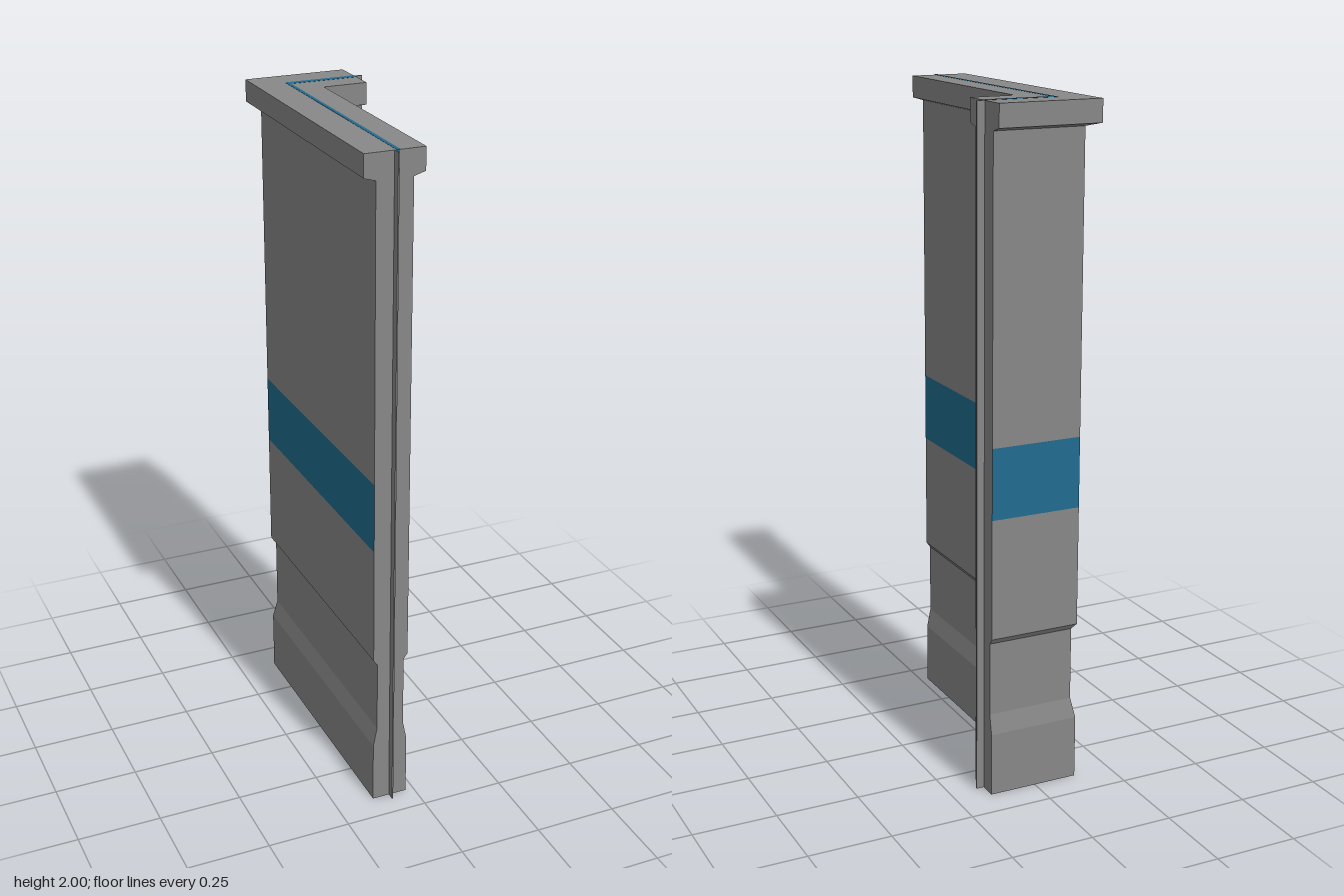
import * as THREE from 'three';

// Centre lines of the two legs and where each leg ends
const CX = -0.079, CZ = -0.351, END_X = 0.143, END_Z = 0.417;

// Corner outline at half thickness h, clockwise from above
function outline(h) {
  return [[CX - h, END_Z], [CX - h, CZ - h], [END_X, CZ - h],
    [END_X, CZ + h], [CX + h, CZ + h], [CX + h, END_Z]];
}

// Skin between [y, half thickness] levels; keep(edge) selects the sides, caps close the ends
function loft(levels, keep = () => true, bottom = false, top = false) {
  const pos = [];
  const rings = levels.map(([y, h]) => outline(h).map(([x, z]) => [x, y, z]));
  const quad = (a, b, c, d) => pos.push(...a, ...b, ...c, ...a, ...c, ...d);
  for (let i = 0; i < rings.length - 1; i++) {
    const lo = rings[i], hi = rings[i + 1];
    for (let e = 0; e < 6; e++) {
      const n = (e + 1) % 6;
      if (keep(e)) quad(lo[n], lo[e], hi[e], hi[n]);
    }
  }
  const b = rings[0], t = rings[rings.length - 1];
  if (bottom) { quad(b[0], b[1], b[4], b[5]); quad(b[1], b[2], b[3], b[4]); }
  if (top) { quad(t[5], t[4], t[1], t[0]); quad(t[4], t[3], t[2], t[1]); }
  const g = new THREE.BufferGeometry();
  g.setAttribute('position', new THREE.Float32BufferAttribute(pos, 3));
  g.computeVertexNormals();
  return g;
}

export function createModel() {
  const model = new THREE.Group();
  const grey = new THREE.MeshStandardMaterial({ color: 0x888888 });
  grey.name = 'wall grey';
  const blue = new THREE.MeshStandardMaterial({ color: 0x216c90 });
  blue.name = 'stripe blue';

  const add = (name, geometry, material) => {
    const mesh = new THREE.Mesh(geometry, material);
    mesh.name = name;
    model.add(mesh);
  };
  const box = (name, material, x0, x1, y0, y1, z0, z1) => {
    const g = new THREE.BoxGeometry(x1 - x0, y1 - y0, z1 - z0);
    g.translate((x0 + x1) / 2, (y0 + y1) / 2, (z0 + z1) / 2);
    add(name, g, material);
  };

  const WALL = 0.054, RECESS = 0.042, CAP = 0.088;
  const isEnd = (e) => e === 2 || e === 5;

  // Plinth, recessed band and lower wall
  add('lowerWall', loft([[0, WALL], [0.19, WALL], [0.25, RECESS], [0.47, RECESS],
    [0.487, WALL], [0.845, WALL]], undefined, true), grey);

  // Painted band on the long faces, plain at the two ends
  const band = [[0.845, WALL], [1.055, WALL]];
  add('stripe', loft(band, (e) => !isEnd(e)), blue);
  add('stripeEnds', loft(band, isEnd), grey);

  // Upper wall and overhanging coping
  add('upperWall', loft([[1.055, WALL], [1.925, WALL]]), grey);
  add('coping', loft([[1.925, WALL], [1.935, CAP], [2, CAP]], undefined, false, true), grey);

  // Thin joining fins standing out of the open ends
  box('frontFin', grey, CX - 0.002, CX + 0.002, 0, 2, END_Z - 0.01, 0.44);
  box('sideFin', grey, END_X - 0.01, 0.166, 0, 2, CZ - 0.003, CZ + 0.003);

  // Core line showing on the coping and its front end
  box('coreLineLong', blue, CX + 0.004, CX + 0.015, 1.995, 2.0006, CZ + 0.015, END_Z);
  box('coreLineShort', blue, CX + 0.004, END_X, 1.995, 2.0006, CZ - 0.005, CZ + 0.015);
  box('coreLineEnd', blue, CX + 0.002, CX + 0.013, 1.94, 2, END_Z - 0.005, END_Z + 0.0006);

  return model;
}
